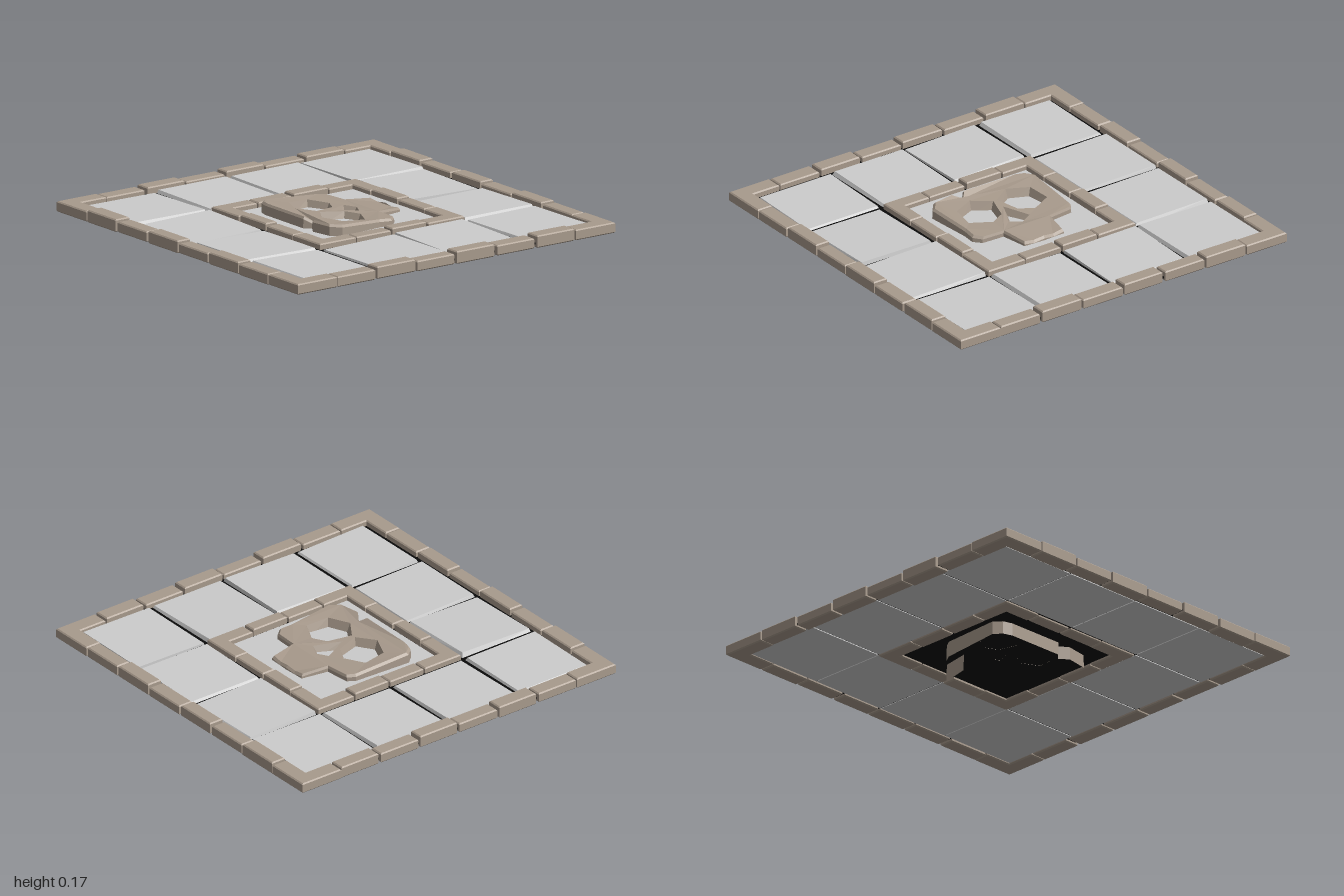
import * as THREE from 'three';

const stone = new THREE.MeshStandardMaterial({ color: 0xcccccc, flatShading: true });
const brown = new THREE.MeshStandardMaterial({ color: 0xa89a8c, flatShading: true });
const dark = new THREE.MeshStandardMaterial({ color: 0x0a0a0a });

// Small repeatable random source, -1..1
function makeRandom(seed) {
  return () => {
    seed = (seed * 16807) % 2147483647;
    return (seed / 2147483647) * 2 - 1;
  };
}

function addMesh(parent, name, geometry, material) {
  const mesh = new THREE.Mesh(geometry, material);
  mesh.name = name;
  parent.add(mesh);
  return mesh;
}

// Bevelled block from a plan outline of [x, z] points
function block(points, y0, y1, bevel = 0.006) {
  const shape = new THREE.Shape(points.map(([x, z]) => new THREE.Vector2(x, -z)));
  const geo = new THREE.ExtrudeGeometry(shape, {
    depth: y1 - y0 - 2 * bevel, bevelEnabled: true, bevelSegments: 1,
    bevelThickness: bevel, bevelSize: bevel, bevelOffset: -bevel,
  });
  return geo.rotateX(-Math.PI / 2).translate(0, y0 + bevel, 0);
}

const rect = (x0, z0, x1, z1) => [[x0, z0], [x1, z0], [x1, z1], [x0, z1]];

// Square course of bricks with four L-shaped corner stones
function brickFrame(name, hx, hz, cz, width, leg, count, random) {
  const frame = new THREE.Group();
  frame.name = name;
  for (const sx of [-1, 1]) for (const sz of [-1, 1]) {
    const L = [[hx, hz], [hx - leg, hz], [hx - leg, hz - width],
      [hx - width, hz - width], [hx - width, hz - leg], [hx, hz - leg]];
    addMesh(frame, 'cornerBrick', block(L.map(([x, z]) => [sx * x, cz + sz * z]), 0.077, 0.132), brown);
  }
  const run = (half, place) => {
    const step = (2 * (half - leg)) / count;
    for (let i = 0; i < count; i++) {
      const a = -half + leg + i * step + 0.007 + 0.003 * random();
      const b = -half + leg + (i + 1) * step - 0.007 + 0.003 * random();
      const top = (i % 2 ? 0.131 : 0.139) + 0.002 * random();
      const inset = 0.003 + 0.003 * random();
      addMesh(frame, 'brick', block(place(a, b, inset), 0.076 + 0.002 * random(), top), brown);
    }
  };
  for (const s of [-1, 1]) {
    const spanZ = (i) => [cz + s * (hz - i), cz + s * (hz - width + i)].sort((p, q) => p - q);
    const spanX = (i) => [s * (hx - i), s * (hx - width + i)].sort((p, q) => p - q);
    run(hx, (a, b, i) => { const [z0, z1] = spanZ(i); return rect(a, z0, b, z1); });
    run(hz, (a, b, i) => { const [x0, x1] = spanX(i); return rect(x0, cz + a, x1, cz + b); });
  }
  return frame;
}

// Paving slab with uneven sloping sides and a slightly tilted top
function pavingTile(x0, x1, z0, z1, random) {
  const geo = new THREE.BoxGeometry(x1 - x0, 0.03, z1 - z0);
  const pos = geo.attributes.position;
  const inset = () => 0.012 + 0.011 * random();
  const sides = [inset(), inset(), inset(), inset()];
  const [tx, tz] = [0.025 * random(), 0.025 * random()];
  for (let i = 0; i < pos.count; i++) {
    const [x, y, z] = [pos.getX(i), pos.getY(i), pos.getZ(i)];
    if (y < 0) continue;
    pos.setXYZ(i, x + (x < 0 ? sides[0] : -sides[1]), y + x * tx + z * tz,
      z + (z < 0 ? sides[2] : -sides[3]));
  }
  return geo.translate((x0 + x1) / 2, 0.101, (z0 + z1) / 2);
}

// Wall through successive loops of [x, y, z] points
function wall(loops) {
  const v = [];
  for (let k = 0; k + 1 < loops.length; k++) {
    const [a, b] = [loops[k], loops[k + 1]];
    for (let i = 0; i < a.length; i++) {
      const j = (i + 1) % a.length;
      v.push(...a[i], ...b[j], ...b[i], ...a[i], ...a[j], ...b[j]);
    }
  }
  const geo = new THREE.BufferGeometry();
  geo.setAttribute('position', new THREE.Float32BufferAttribute(v, 3));
  geo.computeVertexNormals();
  return geo;
}

function shrink(points, factor) {
  const cx = points.reduce((s, p) => s + p[0], 0) / points.length;
  const cz = points.reduce((s, p) => s + p[1], 0) / points.length;
  return points.map(([x, z]) => [cx + (x - cx) * factor, cz + (z - cz) * factor]);
}

// Carved skull, cranium to the front and teeth to the back
function skull() {
  const group = new THREE.Group();
  group.name = 'skullRelief';
  // Clockwise seen from above; the third value lowers tooth grooves and the chip
  const outline = [
    [-0.12, -0.31], [-0.06, -0.312, 0.008], [0, -0.315], [0.06, -0.312, 0.008], [0.12, -0.31],
    [0.145, -0.165], [0.27, -0.16], [0.305, -0.12], [0.3, -0.05], [0.32, 0.2], [0.28, 0.25],
    [0.165, 0.268], [0.115, 0.235, 0.02], [0.085, 0.268], [-0.235, 0.265], [-0.285, 0.25],
    [-0.32, 0.21], [-0.305, -0.11], [-0.28, -0.15], [-0.145, -0.165],
  ];
  const eye = [[-0.24, 0], [-0.13, -0.055], [-0.05, -0.015], [-0.012, 0.11], [-0.11, 0.175], [-0.225, 0.125]];
  const nose = [[-0.065, -0.095], [0, -0.13], [0.065, -0.095], [0, 0.04]];
  const holes = [eye, eye.map(([x, z]) => [-x, z]).reverse(), nose];
  const topY = (z) => 0.15 + 0.065 * z;
  const lift = (points, y) => points.map(([x, z, drop = 0]) => [x, y(z) - drop, z]);

  const rim = outline.map(([x, z, d]) => [x * 0.965, z * 0.97, d]);
  const top = lift(rim, topY);
  const holeTops = holes.map((h) => lift(h, (z) => topY(z) - 0.006));
  const flat = (loop) => loop.map((p) => new THREE.Vector2(p[0], p[2]));
  const faces = THREE.ShapeUtils.triangulateShape(flat(top), holeTops.map(flat));
  const all = [top, ...holeTops].flat();
  const v = [];
  for (const [a, b, c] of faces) {
    const [p, q, r] = [all[a], all[b], all[c]];
    const up = (q[2] - p[2]) * (r[0] - p[0]) - (q[0] - p[0]) * (r[2] - p[2]) > 0;
    v.push(...p, ...(up ? q : r), ...(up ? r : q));
  }
  const face = new THREE.BufferGeometry();
  face.setAttribute('position', new THREE.Float32BufferAttribute(v, 3));
  face.computeVertexNormals();
  addMesh(group, 'skullFace', face, brown);

  // Outer sides run down through the floor, open underneath
  const shoulder = lift(outline, (z) => topY(z) - 0.012);
  const foot = outline.map(([x, z]) => [x * 1.01, 0.0125 + 0.04 * z, z * 1.01]);
  addMesh(group, 'skullSide', wall([top, shoulder, foot]), brown);

  // Sockets narrow towards the floor
  holes.forEach((h, i) => {
    const bottom = lift(shrink(h, i < 2 ? 0.8 : 0.5), () => 0.09);
    addMesh(group, i < 2 ? 'eyeSocket' : 'noseSocket',
      wall([holeTops[i].slice().reverse(), bottom.reverse()]), brown);
  });
  return group;
}

export function createModel() {
  const model = new THREE.Group();
  model.name = 'ornamentalFloor';
  const random = makeRandom(4217);

  addMesh(model, 'mortarBed', new THREE.BoxGeometry(1.96, 0.01, 1.94).translate(0, 0.096, 0), dark);
  addMesh(model, 'centrePanel', new THREE.BoxGeometry(0.73, 0.008, 0.74).translate(0, 0.104, -0.015), stone);

  // Ring of twelve paving tiles around the centre
  const xs = [-0.915, -0.45, 0.002, 0.455, 0.915];
  const zs = [-0.905, -0.46, -0.01, 0.445, 0.895];
  const paving = new THREE.Group();
  paving.name = 'paving';
  for (let i = 0; i < 4; i++) for (let j = 0; j < 4; j++) {
    if (i % 3 && j % 3) continue;
    addMesh(paving, 'pavingTile',
      pavingTile(xs[i] + 0.003, xs[i + 1] - 0.003, zs[j] + 0.004, zs[j + 1] - 0.004, random), stone);
  }
  model.add(paving);

  model.add(brickFrame('outerBorder', 1, 0.99, 0, 0.088, 0.245, 6, random));
  model.add(brickFrame('innerBorder', 0.45, 0.45, -0.012, 0.08, 0.225, 2, random));
  model.add(skull());
  return model;
}
